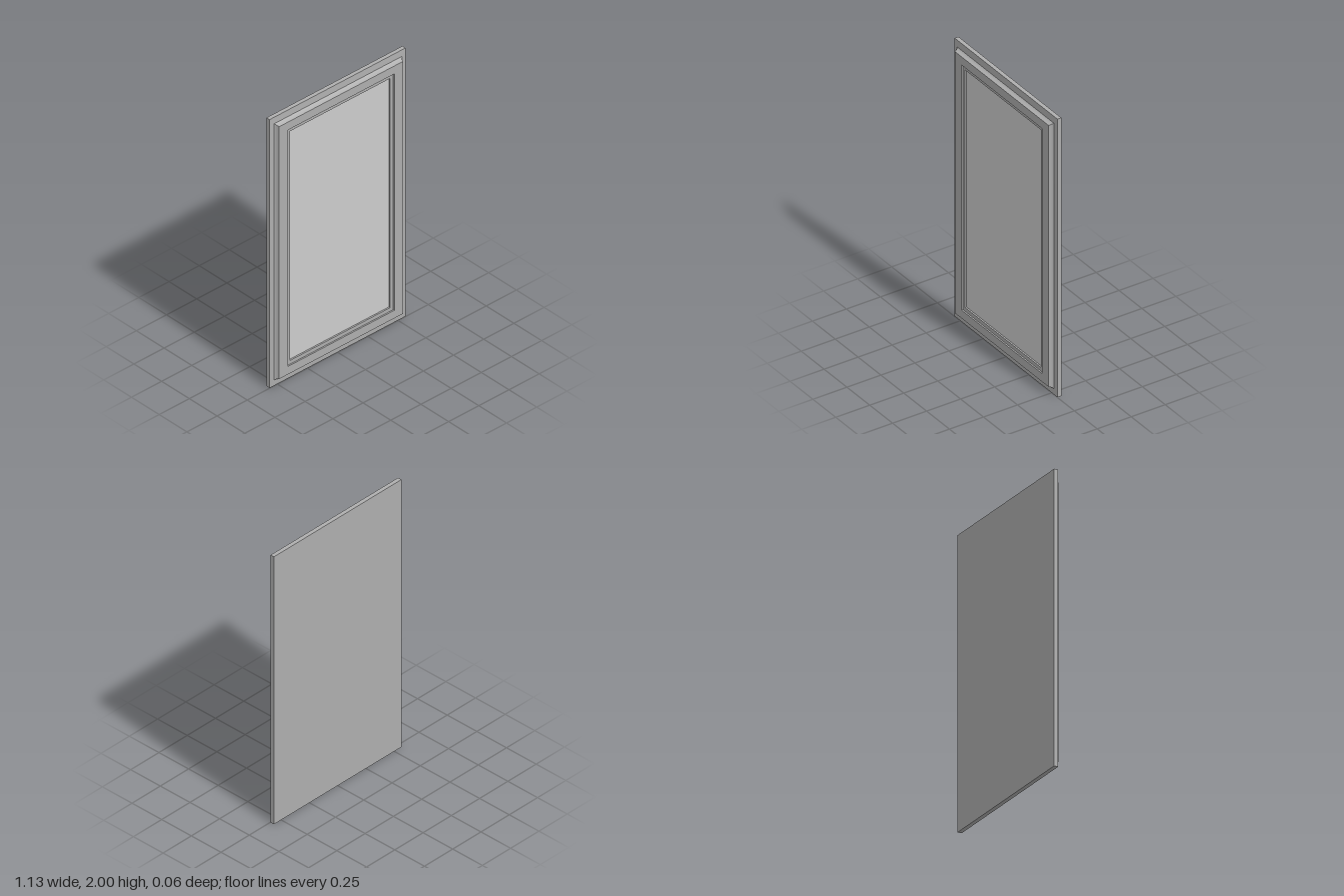
import * as THREE from 'three';
import { toCreasedNormals } from 'three/addons/utils/BufferGeometryUtils.js';

const W = 0.563, H = 1; // half width and half height

// Skins a mitred rectangular moulding; each profile point is [side inset, top inset, z].
function mitredMoulding(profile) {
  const pos = [], index = [];
  for (const [ix, iy, z] of profile) {
    const x = W - ix, y = H - iy;
    pos.push(-x, H - y, z, x, H - y, z, x, H + y, z, -x, H + y, z);
  }
  for (let i = 0; i < profile.length - 1; i++) {
    for (let j = 0; j < 4; j++) {
      const a = i * 4 + j, b = i * 4 + (j + 1) % 4;
      index.push(a, b, b + 4, a, b + 4, a + 4);
    }
  }
  const geo = new THREE.BufferGeometry();
  geo.setAttribute('position', new THREE.Float32BufferAttribute(pos, 3));
  geo.setIndex(index);
  return toCreasedNormals(geo, 0.4);
}

export function createModel() {
  const group = new THREE.Group();
  const frameMat = new THREE.MeshStandardMaterial({ color: 0xaeaeae });
  const panelMat = new THREE.MeshStandardMaterial({ color: 0xcccccc });
  const add = (name, geo, mat) => {
    const mesh = new THREE.Mesh(geo, mat);
    mesh.name = name;
    group.add(mesh);
    return mesh;
  };

  add('frameMoulding', mitredMoulding([
    // Outer edge and nearly flat border
    [0, 0, -0.03], [0, 0, -0.002], [0.033, 0.045, 0.002],
    // Concave cove rising to the raised face
    [0.040, 0.051, 0.008], [0.045, 0.055, 0.016], [0.049, 0.060, 0.03],
    // Raised face, then a step down to the inner ledge
    [0.122, 0.119, 0.03], [0.122, 0.119, 0.02],
    // Inner ledge and step down to the centre panel
    [0.148, 0.146, 0.02], [0.148, 0.146, 0.009],
  ]), frameMat);

  // Flat back of the door
  const back = add('backPanel', new THREE.PlaneGeometry(2 * W, 2 * H), frameMat);
  back.rotation.y = Math.PI;
  back.position.set(0, H, -0.03);

  // Recessed centre panel
  const panel = add('centrePanel', new THREE.PlaneGeometry(2 * (W - 0.148), 2 * (H - 0.146)), panelMat);
  panel.position.set(0, H, 0.009);

  return group;
}
